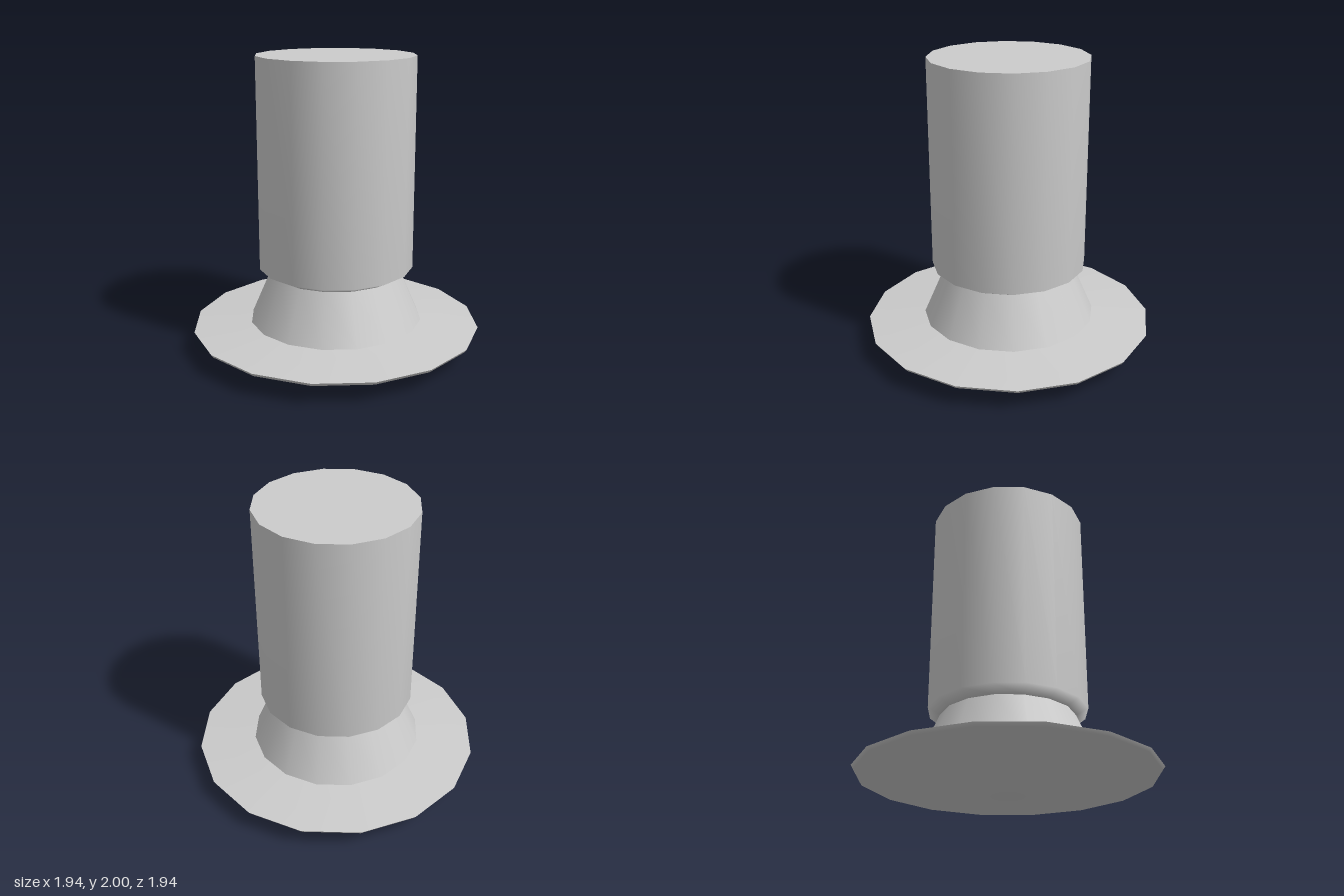
import * as THREE from 'three';

const SIDES = 16;
const FLAT = Math.cos(Math.PI / SIDES); // flat-to-corner radius ratio

export function createModel() {
  const group = new THREE.Group();
  const material = new THREE.MeshStandardMaterial({ color: 0xcccccc });

  // Revolves [half-width across flats, height] points, listed bottom to top
  function turned(name, profile) {
    const points = profile.map(([r, y]) => new THREE.Vector2(r / FLAT, y));
    const mesh = new THREE.Mesh(new THREE.LatheGeometry(points, SIDES, Math.PI / SIDES), material);
    mesh.name = name;
    group.add(mesh);
  }

  // Wide shallow foot: rounded underside with a thin rim, then its sloped top
  turned('footUnderside', [[0, 0], [0.54, 0.03], [0.955, 0.13], [0.97, 0.152]]);
  turned('footTop', [[0.97, 0.152], [0.583, 0.188]]);

  // Tapered neck
  turned('neck', [[0.583, 0.188], [0.44, 0.525]]);

  // Upright barrel with a softened lower edge and flat top
  turned('barrelSide', [[0.44, 0.525], [0.52, 0.568], [0.52, 2]]);
  turned('barrelTop', [[0.52, 2], [0, 2]]);

  return group;
}
